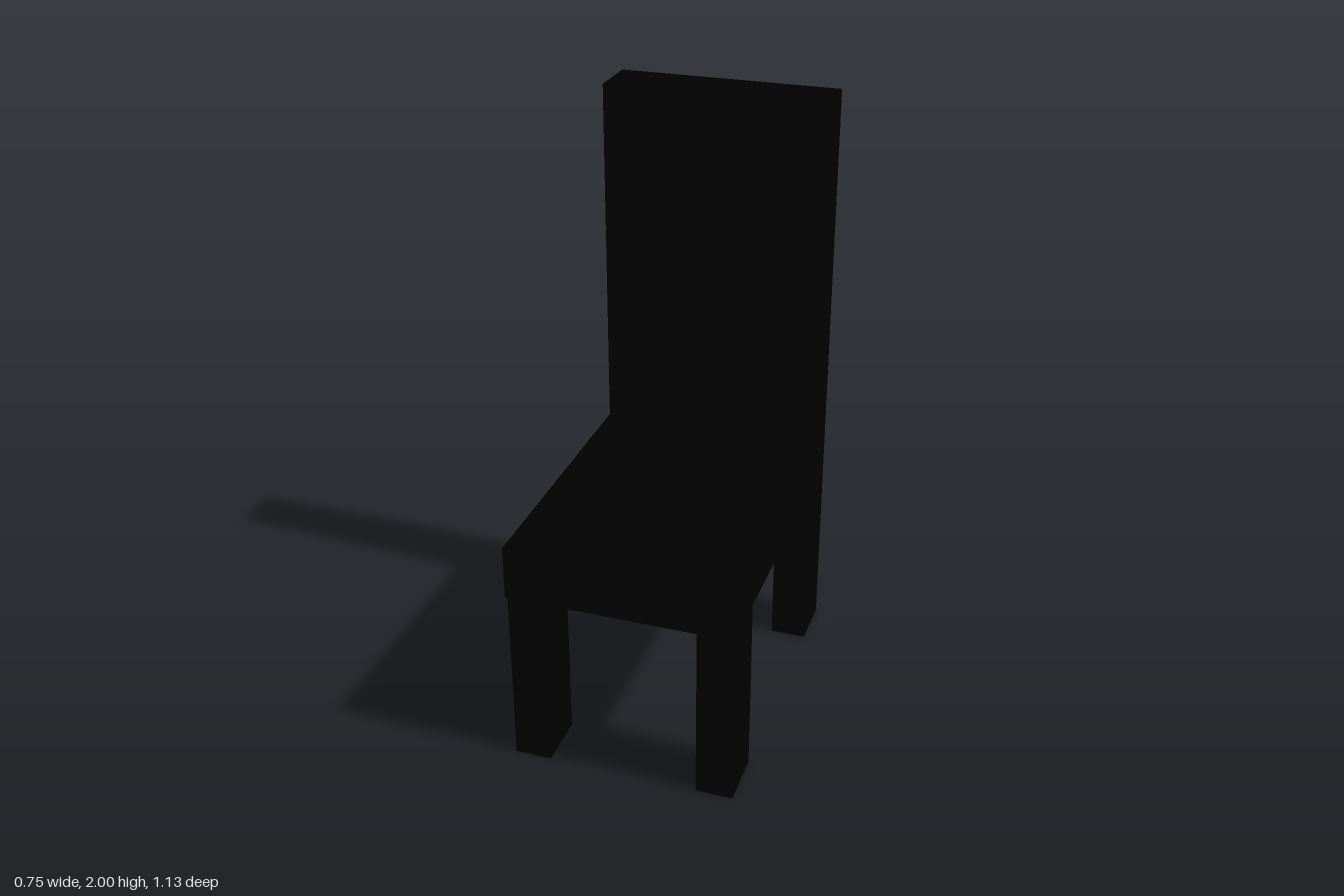
import * as THREE from 'three';

export function createModel() {
  const chair = new THREE.Group();
  chair.name = 'chair';
  const black = new THREE.MeshStandardMaterial({ color: 0x000000 });

  // Box given by its limits on each axis
  function addBox(name, [x0, x1], [y0, y1], [z0, z1]) {
    const mesh = new THREE.Mesh(new THREE.BoxGeometry(x1 - x0, y1 - y0, z1 - z0), black);
    mesh.position.set((x0 + x1) / 2, (y0 + y1) / 2, (z0 + z1) / 2);
    mesh.name = name;
    chair.add(mesh);
  }

  // Seat slab and tall backrest
  addBox('seat', [-0.375, 0.373], [0.62, 0.8], [-0.38, 0.565]);
  addBox('backrest', [-0.373, 0.373], [0.62, 2], [-0.565, -0.38]);

  // Four legs, with a hairline joint below the seat
  for (const [side, x] of [['Left', [0.25, 0.373]], ['Right', [-0.373, -0.25]]]) {
    addBox('front' + side + 'Leg', x, [0, 0.613], [0.362, 0.55]);
    addBox('back' + side + 'Leg', x, [0, 0.613], [-0.565, -0.38]);
  }
  return chair;
}
